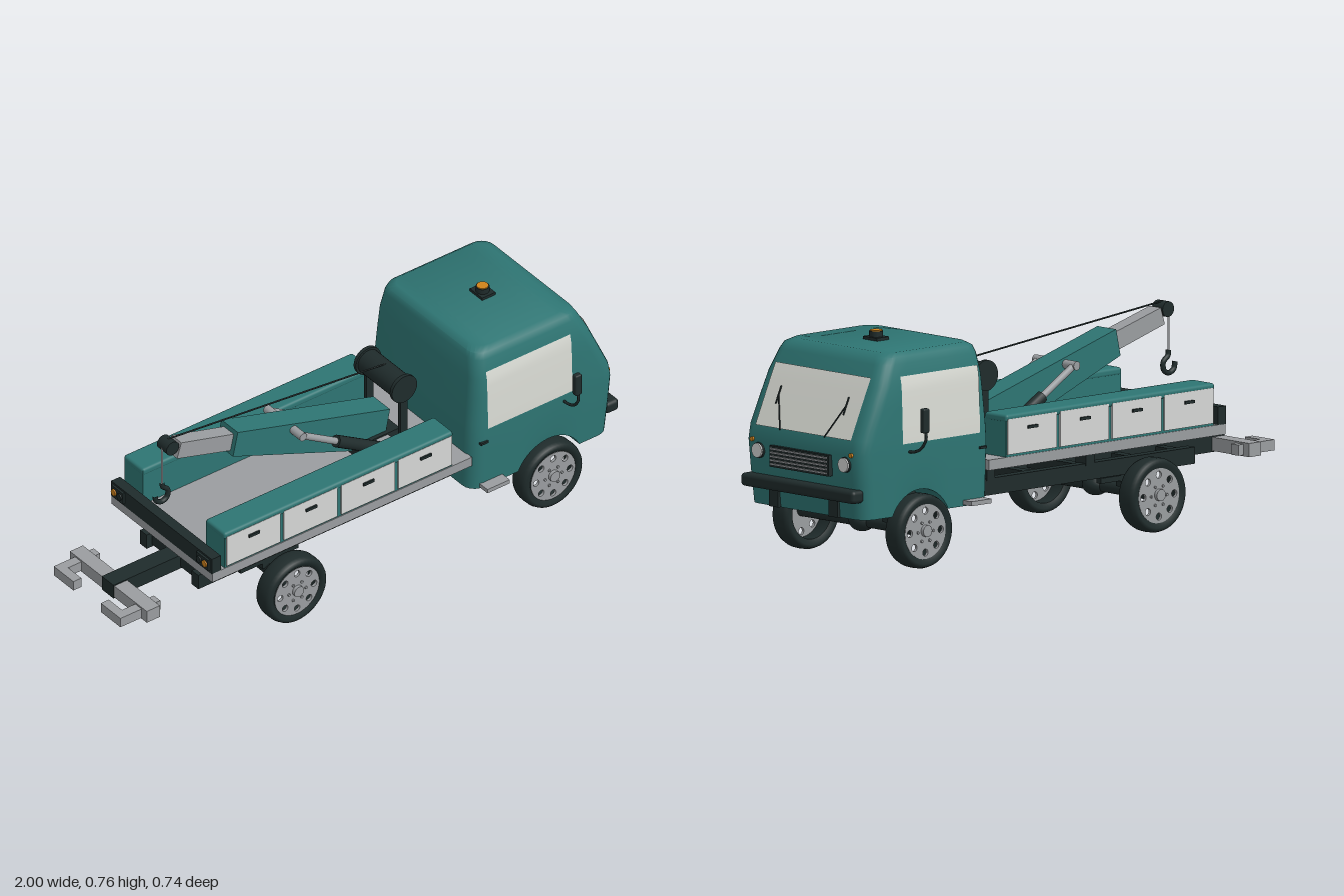
import * as THREE from 'three';
import { toCreasedNormals } from 'three/addons/utils/BufferGeometryUtils.js';
import { RoundedBoxGeometry } from 'three/addons/geometries/RoundedBoxGeometry.js';

const mat = (name, color, side = THREE.FrontSide) => {
  const m = new THREE.MeshStandardMaterial({ color, side });
  m.name = name;
  return m;
};

// Cab levels: y, rear x, front x, half width
const LEVELS = [
  [0.185, 0.38, 0.955, 0.279], [0.3, 0.38, 0.966, 0.284], [0.4, 0.38, 0.974, 0.287],
  [0.45, 0.384, 0.965, 0.287], [0.55, 0.393, 0.92, 0.284], [0.62, 0.4, 0.888, 0.281],
  [0.69, 0.408, 0.853, 0.266], [0.712, 0.415, 0.84, 0.257], [0.725, 0.435, 0.81, 0.238],
];
function levelAt(y, col) {
  const i = Math.max(1, LEVELS.findIndex((l) => l[0] >= y));
  const a = LEVELS[i - 1], b = LEVELS[i];
  return a[col] + (b[col] - a[col]) * (y - a[0]) / (b[0] - a[0]);
}

// Half outline of the cab at one level, from rear to front on the +z side
function halfRing([y, x0, x1, hw], first) {
  const r = 0.05, pts = [];
  for (let i = 0; i <= 5; i++) {
    const a = i / 5 * Math.PI / 2;
    pts.push([x0 + r - r * Math.cos(a), y, hw - r + r * Math.sin(a)]);
  }
  const [, bx0, bx1] = LEVELS[0], half = Math.acos(0.06 / 0.14);
  for (let i = 0; i <= 16; i++) {
    const a = (i / 8 - 1) * half;
    const u = (0.7 + 0.14 * Math.sin(a) - bx0 - r) / (bx1 - bx0 - 2 * r);
    pts.push([x0 + r + u * (x1 - x0 - 2 * r), first ? 0.125 + 0.14 * Math.cos(a) : y, hw]);
  }
  for (let i = 0; i <= 5; i++) {
    const a = i / 5 * Math.PI / 2;
    pts.push([x1 - r + r * Math.sin(a), y, hw - r + r * Math.cos(a)]);
  }
  return pts;
}

// Lofted cab shell with the wheel arch cut through its floor
function cabGeometry() {
  const pos = [], idx = [];
  const halves = LEVELS.map((l, i) => halfRing(l, i === 0));
  const n = halves[0].length, m = n * 2;
  for (const h of halves) {
    for (const p of h) pos.push(...p);
    for (const p of [...h].reverse()) pos.push(p[0], p[1], -p[2]);
  }
  const quad = (a, b, c, d) => idx.push(a, b, c, a, c, d);
  for (let j = 0; j < halves.length - 1; j++)
    for (let i = 0; i < m; i++) {
      const k = (i + 1) % m;
      quad(j * m + i, j * m + k, (j + 1) * m + k, (j + 1) * m + i);
    }
  const top = (halves.length - 1) * m;
  for (let i = 0; i < n - 1; i++) {
    quad(top + i, top + i + 1, top + m - 2 - i, top + m - 1 - i);
    quad(m - 1 - i, m - 2 - i, i + 1, i);
  }
  const g = new THREE.BufferGeometry();
  g.setAttribute('position', new THREE.Float32BufferAttribute(pos, 3));
  g.setIndex(idx);
  return toCreasedNormals(g, 0.7);
}

// Thin sheet whose vertices are placed by a rule
function sheet(w, y0, y1, rule) {
  const g = new THREE.PlaneGeometry(w, y1 - y0, 1, 8), p = g.attributes.position;
  for (let i = 0; i < p.count; i++) p.setXYZ(i, ...rule(p.getX(i), p.getY(i) + (y0 + y1) / 2));
  g.computeVertexNormals();
  return g;
}

export function createModel() {
  const teal = mat('teal paint', 0x2e7573), dark = mat('dark metal', 0x1f2b2b);
  const grey = mat('grey metal', 0x9a9da0), white = mat('light panel', 0xd6d7d6);
  const glass = mat('pale glass', 0xdadcd5, THREE.DoubleSide), orange = mat('amber lamp', 0xd0831a);
  const root = new THREE.Group();
  root.name = 'towTruck';

  const add = (name, geo, m, x = 0, y = 0, z = 0) => {
    const mesh = new THREE.Mesh(geo, m);
    mesh.name = name;
    mesh.position.set(x, y, z);
    root.add(mesh);
    return mesh;
  };
  // Box given by its ranges on each axis
  const box = (name, m, x0, x1, y0, y1, z0, z1, r = 0) => {
    const d = [x1 - x0, y1 - y0, z1 - z0];
    return add(name, r ? new RoundedBoxGeometry(...d, 3, r) : new THREE.BoxGeometry(...d), m,
      (x0 + x1) / 2, (y0 + y1) / 2, (z0 + z1) / 2);
  };
  const bar = (name, m, a, b, r, sides = 16) => {
    const p = new THREE.Vector3(...a), q = new THREE.Vector3(...b), d = q.clone().sub(p);
    const mesh = add(name, new THREE.CylinderGeometry(r, r, d.length(), sides), m);
    mesh.position.copy(p.add(q).multiplyScalar(0.5));
    mesh.quaternion.setFromUnitVectors(new THREE.Vector3(0, 1, 0), d.normalize());
    return mesh;
  };
  const prism = (name, m, pts, w) => {
    const s = new THREE.Shape(pts.map((p) => new THREE.Vector2(...p)));
    return add(name, new THREE.ExtrudeGeometry(s, { depth: w, bevelEnabled: false }), m, 0, 0, -w / 2);
  };
  const tube = (name, m, pts, r) => add(name, new THREE.TubeGeometry(
    new THREE.CatmullRomCurve3(pts.map((p) => new THREE.Vector3(...p))), 24, r, 8), m);

  // Cab and windscreen
  add('cab', cabGeometry(), teal);
  add('windscreen', sheet(0.458, 0.45, 0.65, (u, y) => [levelAt(y, 2) + 0.004, y, -u]), glass);
  box('beaconBase', dark, 0.61, 0.665, 0.72, 0.735, -0.034, 0.034);
  bar('beaconHousing', dark, [0.637, 0.73, 0], [0.637, 0.754, 0], 0.023, 24);
  bar('beaconLamp', orange, [0.637, 0.75, 0], [0.637, 0.757, 0], 0.02, 24);

  // Grille and bumper
  box('grilleFrame', dark, 0.95, 0.988, 0.322, 0.393, -0.141, 0.141);
  for (let i = 0; i < 5; i++) {
    const y = 0.332 + i * 0.0128;
    box('grilleSlat', grey, 0.98, 0.994, y - 0.003, y + 0.003, -0.136, 0.136);
  }
  box('bumper', dark, 0.945, 1.0, 0.244, 0.288, -0.272, 0.272, 0.014);

  for (const s of [1, -1]) {
    const zbox = (name, m, x0, x1, y0, y1, z0, z1, r) =>
      box(name, m, x0, x1, y0, y1, Math.min(s * z0, s * z1), Math.max(s * z0, s * z1), r);
    // Cab fittings on each side
    add('sideWindow', sheet(0.35, 0.425, 0.65,
      (u, y) => [0.615 + u * s, y, s * (levelAt(y, 3) + 0.003)]), glass);
    zbox('doorHandle', dark, 0.41, 0.44, 0.37, 0.378, 0.28, 0.293);
    zbox('mirror', dark, 0.743, 0.77, 0.468, 0.55, 0.349, 0.371, 0.006);
    tube('mirrorArm', dark, [[0.757, 0.48, s * 0.362], [0.757, 0.45, s * 0.367],
      [0.757, 0.415, s * 0.345], [0.757, 0.4, s * 0.315], [0.757, 0.396, s * 0.28]], 0.005);
    zbox('step', grey, 0.415, 0.507, 0.19, 0.205, 0.24, 0.32);
    const gx = (y) => levelAt(y, 2) + 0.009;
    bar('wiperArm', dark, [gx(0.448), 0.448, s * 0.106], [gx(0.555), 0.555, s * 0.162], 0.0025, 6);
    bar('wiperBlade', dark, [gx(0.525), 0.525, s * 0.162], [gx(0.582), 0.582, s * 0.162], 0.003, 6);
    bar('headlightRim', dark, [0.95, 0.368, s * 0.207], [0.979, 0.368, s * 0.207], 0.026, 28);
    bar('headlight', white, [0.96, 0.368, s * 0.207], [0.985, 0.368, s * 0.207], 0.024, 28);
    bar('indicator', orange, [0.94, 0.402, s * 0.237], [0.98, 0.402, s * 0.237], 0.008, 14);
    zbox('bumperBracket', dark, 0.93, 0.968, 0.185, 0.25, 0.121, 0.164);

    // Chassis rails, axle mounts and bed supports
    zbox('chassisRail', dark, -0.66, 0.93, 0.181, 0.237, 0.123, 0.159);
    for (const x of [-0.36, 0.7]) {
      zbox('axleMount', dark, x - 0.03, x + 0.03, 0.14, 0.185, 0.128, 0.154);
      zbox('leafSpring', dark, x - 0.12, x + 0.12, 0.16, 0.178, 0.13, 0.152);
    }
    for (const x of [-0.183, 0.267]) zbox('bedSupport', dark, x - 0.019, x + 0.019, 0.23, 0.295, 0.11, 0.16);

    // Side lockers with four doors each
    zbox('locker', teal, -0.638, 0.305, 0.32, 0.46, 0.172, 0.272);
    zbox('lockerLid', teal, -0.64, 0.307, 0.44, 0.467, 0.17, 0.277, 0.01);
    for (let i = 0; i < 4; i++) {
      const x = -0.521 + i * 0.237;
      zbox('lockerDoor', white, x - 0.111, x + 0.111, 0.333, 0.452, 0.269, 0.278);
      zbox('lockerHandle', dark, x - 0.022, x + 0.022, 0.412, 0.422, 0.276, 0.284);
    }

    // Tail lamps
    zbox('tailLampBox', dark, -0.7, -0.68, 0.335, 0.378, 0.2, 0.265);
    bar('tailLamp', orange, [-0.69, 0.357, s * 0.248], [-0.705, 0.357, s * 0.248], 0.012, 14);
    bar('tailLampInner', dark, [-0.69, 0.357, s * 0.217], [-0.705, 0.357, s * 0.217], 0.012, 14);

    // Wheel lift forks
    zbox('liftFork', grey, -1.0, -0.835, 0.19, 0.226, 0.147, 0.182);
    zbox('liftForkEnd', grey, -1.0, -0.967, 0.19, 0.226, 0.075, 0.182);

    // Boom lifting rams
    bar('ramBody', dark, [0.17, 0.345, s * 0.085], [-0.035, 0.467, s * 0.085], 0.021);
    bar('ramRod', grey, [-0.03, 0.464, s * 0.085], [-0.18, 0.555, s * 0.085], 0.012);
    zbox('ramFoot', grey, 0.15, 0.2, 0.32, 0.375, 0.06, 0.125);
    zbox('drumPost', dark, 0.222, 0.25, 0.32, 0.57, 0.085, 0.1);
    bar('drumFlange', dark, [0.235, 0.57, s * 0.092], [0.235, 0.57, s * 0.105], 0.052, 28);
  }

  // Bed, tail bar and chassis cross members
  box('bed', grey, -0.69, 0.385, 0.29, 0.325, -0.275, 0.275);
  box('tailBar', dark, -0.692, -0.655, 0.324, 0.385, -0.275, 0.275);
  for (const x of [-0.62, -0.42, -0.183, 0.04, 0.267, 0.5]) 
    box('crossMember', dark, x - 0.018, x + 0.018, 0.19, 0.23, -0.13, 0.13);
  box('towBar', dark, -0.915, -0.3, 0.182, 0.236, -0.032, 0.032);
  box('liftCrossbar', grey, -0.912, -0.858, 0.186, 0.232, -0.21, 0.21);

  // Boom, winch and hook
  prism('boom', teal, [[-0.41, 0.645], [-0.43, 0.555], [0.06, 0.36], [0.2, 0.36], [0.22, 0.46]], 0.09);
  prism('boomExtension', grey, [[-0.63, 0.69], [-0.648, 0.633], [-0.4, 0.56], [-0.38, 0.62]], 0.054);
  box('boomFoot', dark, 0.08, 0.25, 0.32, 0.38, -0.06, 0.06);
  bar('ramPin', grey, [-0.18, 0.555, -0.1], [-0.18, 0.555, 0.1], 0.015);
  bar('winchDrum', dark, [0.235, 0.57, -0.1], [0.235, 0.57, 0.1], 0.044, 28);
  bar('sheave', dark, [-0.665, 0.681, -0.026], [-0.665, 0.681, 0.026], 0.026, 24);
  bar('winchCable', dark, [-0.665, 0.706, 0], [0.235, 0.613, 0], 0.003, 6);
  bar('hookCable', grey, [-0.69, 0.68, 0], [-0.69, 0.53, 0], 0.004, 6);
  tube('hook', dark, [[-0.69, 0.54, 0], [-0.688, 0.522, 0], [-0.666, 0.5, 0], [-0.67, 0.472, 0],
    [-0.692, 0.462, 0], [-0.714, 0.474, 0], [-0.719, 0.498, 0]], 0.009);

  // Axles and wheels
  const tyreProfile = [[0.09, -0.03], [0.108, -0.038], [0.119, -0.034], [0.124, -0.02], [0.125, 0],
    [0.124, 0.02], [0.119, 0.034], [0.108, 0.038], [0.09, 0.03], [0.09, -0.03]];
  const tyreGeo = new THREE.LatheGeometry(tyreProfile.map((p) => new THREE.Vector2(...p)), 48).rotateX(Math.PI / 2);
  const disc = new THREE.Shape().absarc(0, 0, 0.092, 0, Math.PI * 2);
  for (let i = 0; i < 8; i++) {
    const a = (i + 0.0) * Math.PI / 4;
    disc.holes.push(new THREE.Path().absarc(0.07 * Math.cos(a), 0.07 * Math.sin(a), 0.012, 0, Math.PI * 2, true));
  }
  const rimGeo = new THREE.ExtrudeGeometry(disc, { depth: 0.01, bevelEnabled: false, curveSegments: 20 });
  for (const x of [-0.36, 0.7]) {
    bar('axle', dark, [x, 0.128, -0.29], [x, 0.128, 0.29], 0.022, 20);
    add('differential', new THREE.SphereGeometry(1, 24, 16), dark, x, 0.128, 0).scale.set(0.045, 0.037, 0.047);
    for (const s of [1, -1]) {
      add('tyre', tyreGeo, dark, x, 0.125, s * 0.271);
      add('rim', rimGeo, grey, x, 0.125, s * 0.293).rotation.y = s > 0 ? 0 : Math.PI;
      bar('hub', grey, [x, 0.128, s * 0.29], [x, 0.128, s * 0.315], 0.02, 20);
      for (let i = 0; i < 6; i++) {
        const a = i * Math.PI / 3, bx = x + 0.035 * Math.cos(a), by = 0.125 + 0.035 * Math.sin(a);
        bar('wheelBolt', grey, [bx, by, s * 0.3], [bx, by, s * 0.308], 0.005, 6);
      }
    }
  }
  return root;
}
